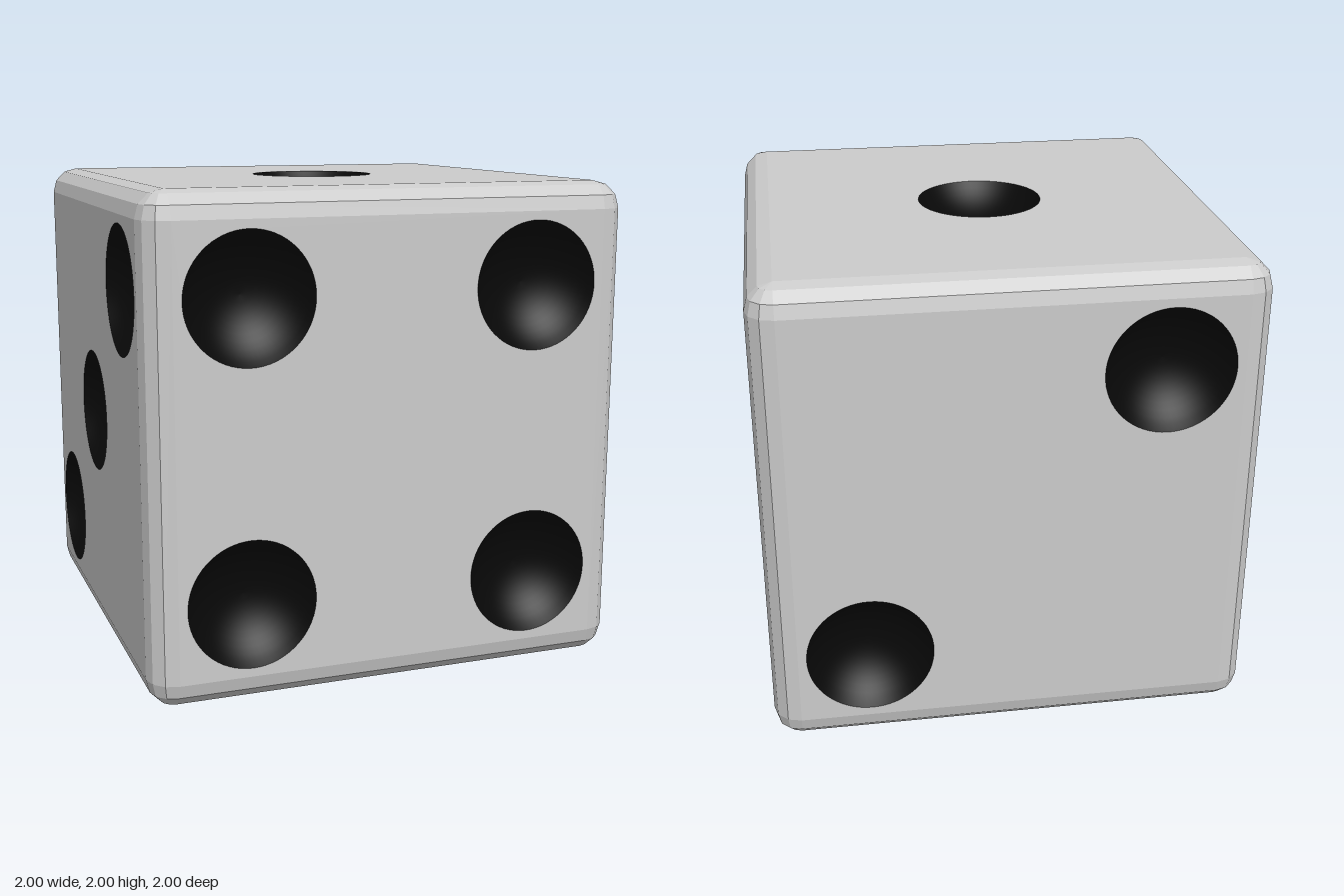
import * as THREE from 'three';
import { mergeGeometries } from 'three/addons/utils/BufferGeometryUtils.js';

const HALF = 1;          // half the cube's side
const BEVEL = 0.11;      // edge rounding radius
const FLAT = HALF - BEVEL;
const STEPS = 3;         // facets across each rounded edge
const PIP_R = 0.26;
const PIP_DEPTH = 0.14;
const P = 0.595;         // pip offset from the face centre
const QUARTER = Math.PI / 2;

// Each face: rotation from the +z face, and pip positions in its own plane
const FACES = [
  { name: 'top', rot: [-QUARTER, 0], pips: [[0, 0]] },
  { name: 'back', rot: [0, Math.PI], pips: [[P, P], [-P, -P]] },
  { name: 'left', rot: [0, -QUARTER], pips: [[P, P], [0, 0], [-P, -P]] },
  { name: 'front', rot: [0, 0], pips: [[P, P], [-P, P], [P, -P], [-P, -P]] },
  { name: 'right', rot: [0, QUARTER], pips: [[P, P], [-P, P], [0, 0], [P, -P], [-P, -P]] },
  { name: 'bottom', rot: [QUARTER, 0], pips: [[P, P], [P, 0], [P, -P], [-P, P], [-P, 0], [-P, -P]] },
];

// Flat square pierced by a round hole for every pip
function panelGeometry(pips) {
  const shape = new THREE.Shape([
    new THREE.Vector2(-FLAT, -FLAT), new THREE.Vector2(FLAT, -FLAT),
    new THREE.Vector2(FLAT, FLAT), new THREE.Vector2(-FLAT, FLAT),
  ]);
  for (const [x, y] of pips) {
    shape.holes.push(new THREE.Path().absarc(x, y, PIP_R, 0, Math.PI * 2, true));
  }
  return new THREE.ShapeGeometry(shape, 32).translate(0, 0, HALF);
}

// Shallow spherical dish opening towards +z
function dimpleGeometry() {
  const R = (PIP_R ** 2 + PIP_DEPTH ** 2) / (2 * PIP_DEPTH);
  const sweep = Math.asin(PIP_R / R);
  const profile = [];
  for (let i = 0; i <= 10; i++) {
    const a = sweep * (1 - i / 10);
    profile.push(new THREE.Vector2(R * Math.sin(a), R - PIP_DEPTH - R * Math.cos(a)));
  }
  return new THREE.LatheGeometry(profile, 64).rotateX(QUARTER);
}

// Twelve rounded edges and eight rounded corners
function bevelGeometry() {
  const parts = [];
  for (let k = 0; k < 4; k++) {
    const edge = new THREE.CylinderGeometry(BEVEL, BEVEL, 2 * FLAT, STEPS, 1, true, 0, QUARTER)
      .translate(FLAT, 0, FLAT).rotateY(k * QUARTER);
    parts.push(edge, edge.clone().rotateX(QUARTER), edge.clone().rotateZ(QUARTER));

    const corner = new THREE.SphereGeometry(BEVEL, STEPS, STEPS, QUARTER, QUARTER, 0, QUARTER)
      .translate(FLAT, FLAT, FLAT).rotateY(k * QUARTER);
    parts.push(corner, corner.clone().rotateX(Math.PI));
  }
  return mergeGeometries(parts);
}

export function createModel() {
  const die = new THREE.Group();
  die.name = 'die';
  const bodyMat = new THREE.MeshStandardMaterial({ color: 0xcccccc, flatShading: true });
  const pipMat = new THREE.MeshStandardMaterial({ color: 0x080808, side: THREE.DoubleSide });
  const dimple = dimpleGeometry();

  const add = (parent, name, geometry, material) => {
    const mesh = new THREE.Mesh(geometry, material);
    mesh.name = name;
    parent.add(mesh);
    return mesh;
  };

  add(die, 'roundedEdges', bevelGeometry(), bodyMat);

  for (const { name, rot, pips } of FACES) {
    const face = new THREE.Group();
    face.name = name + 'Face';
    face.rotation.set(rot[0], rot[1], 0);
    add(face, name + 'Panel', panelGeometry(pips), bodyMat);
    pips.forEach(([x, y], i) => {
      add(face, name + 'Pip' + (i + 1), dimple, pipMat).position.set(x, y, HALF);
    });
    die.add(face);
  }

  // Stand the cube on the ground
  const model = new THREE.Group();
  model.name = 'model';
  die.position.y = HALF;
  model.add(die);
  return model;
}
